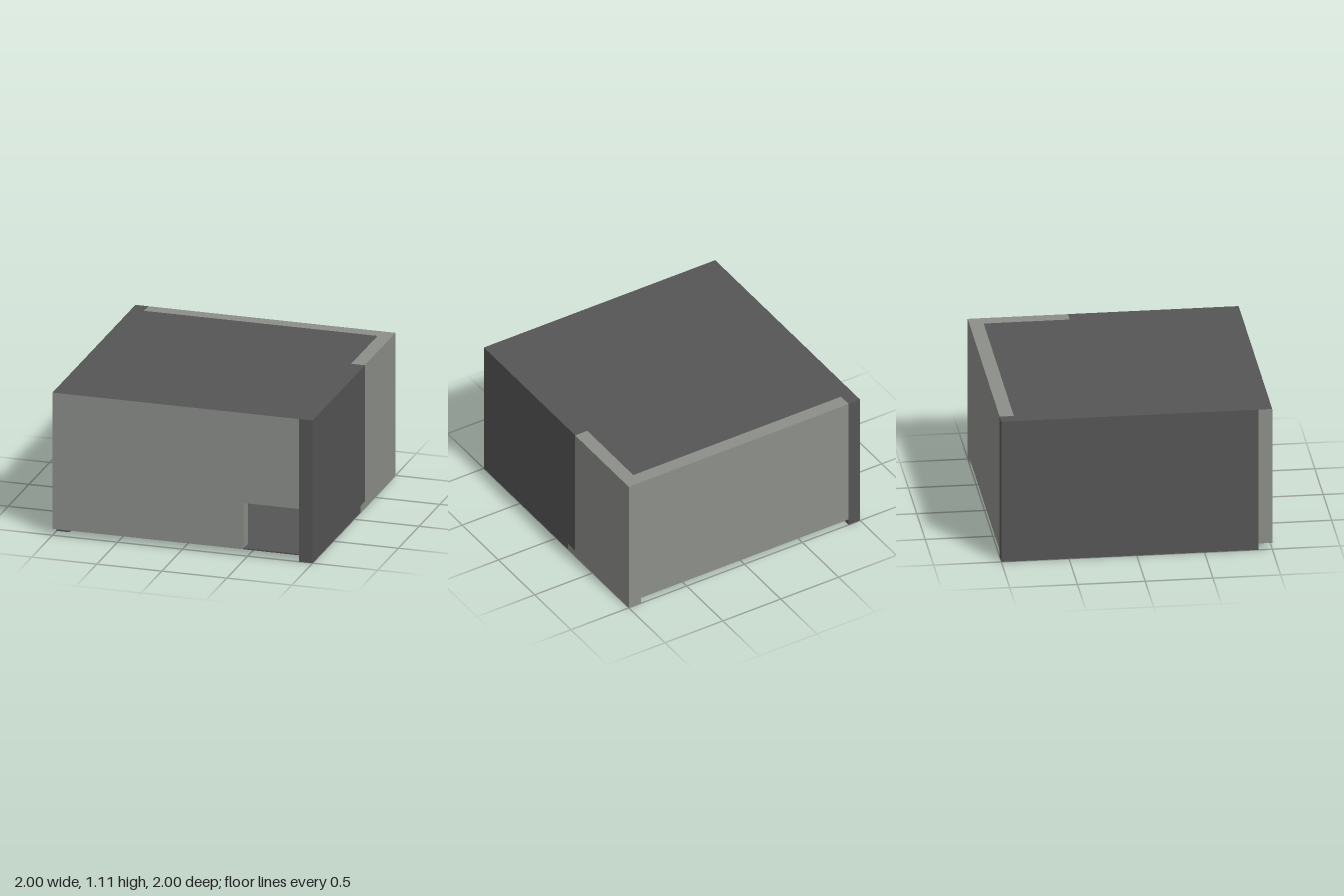
import * as THREE from 'three';

export function createModel() {
  const model = new THREE.Group();
  const light = new THREE.MeshStandardMaterial({ color: 0x8c8e8a });
  light.name = 'light stone';
  const dark = new THREE.MeshStandardMaterial({ color: 0x555555 });
  dark.name = 'dark stone';

  const H = 1.11; // overall height
  const B = 0.05; // underside of floor

  // Box given by its minimum and maximum corners
  function block(name, material, [x0, y0, z0], [x1, y1, z1]) {
    const geometry = new THREE.BoxGeometry(x1 - x0, y1 - y0, z1 - z0);
    const mesh = new THREE.Mesh(geometry, material);
    mesh.position.set((x0 + x1) / 2, (y0 + y1) / 2, (z0 + z1) / 2);
    mesh.name = name;
    model.add(mesh);
  }

  // Side walls reach the ground
  block('leftSideWall', dark, [-1, 0, -1], [-0.9, H, 0.9]);
  block('rightSideWallFront', dark, [0.895, 0, -0.16], [1, H, 1]);
  block('rightSideWallBack', light, [0.895, 0, -1], [1, H, -0.26]);
  block('rightSideWallFoot', light, [0.895, 0, -0.26], [1, B, -0.16]);

  // Back wall, raised off the ground
  block('backWall', light, [-0.9, B, -1], [0.895, H, -0.895]);

  // Inner partition, showing through the right side
  block('partition', dark, [-0.9, B + 0.01, -0.26], [0.895, H - 0.04, -0.16]);
  block('partitionEnd', dark, [0.895, B, -0.26], [1, H, -0.16]);

  // Front wall with a low doorway at one corner; its top matches the roof
  const darkTop = [light, light, dark, light, light, light];
  block('frontWall', darkTop, [-1, B, 0.9], [0.47, H, 1]);
  block('doorLintel', darkTop, [0.47, 0.41, 0.9], [0.895, H, 1]);

  // Roof and floor
  block('roof', dark, [-0.9, H - 0.04, -0.895], [0.895, H, 0.9]);
  block('floor', dark, [-0.9, B, -0.895], [0.895, B + 0.01, 0.9]);
  block('doorSill', dark, [0.47, B, 0.9], [0.895, B + 0.01, 1]);

  return model;
}
